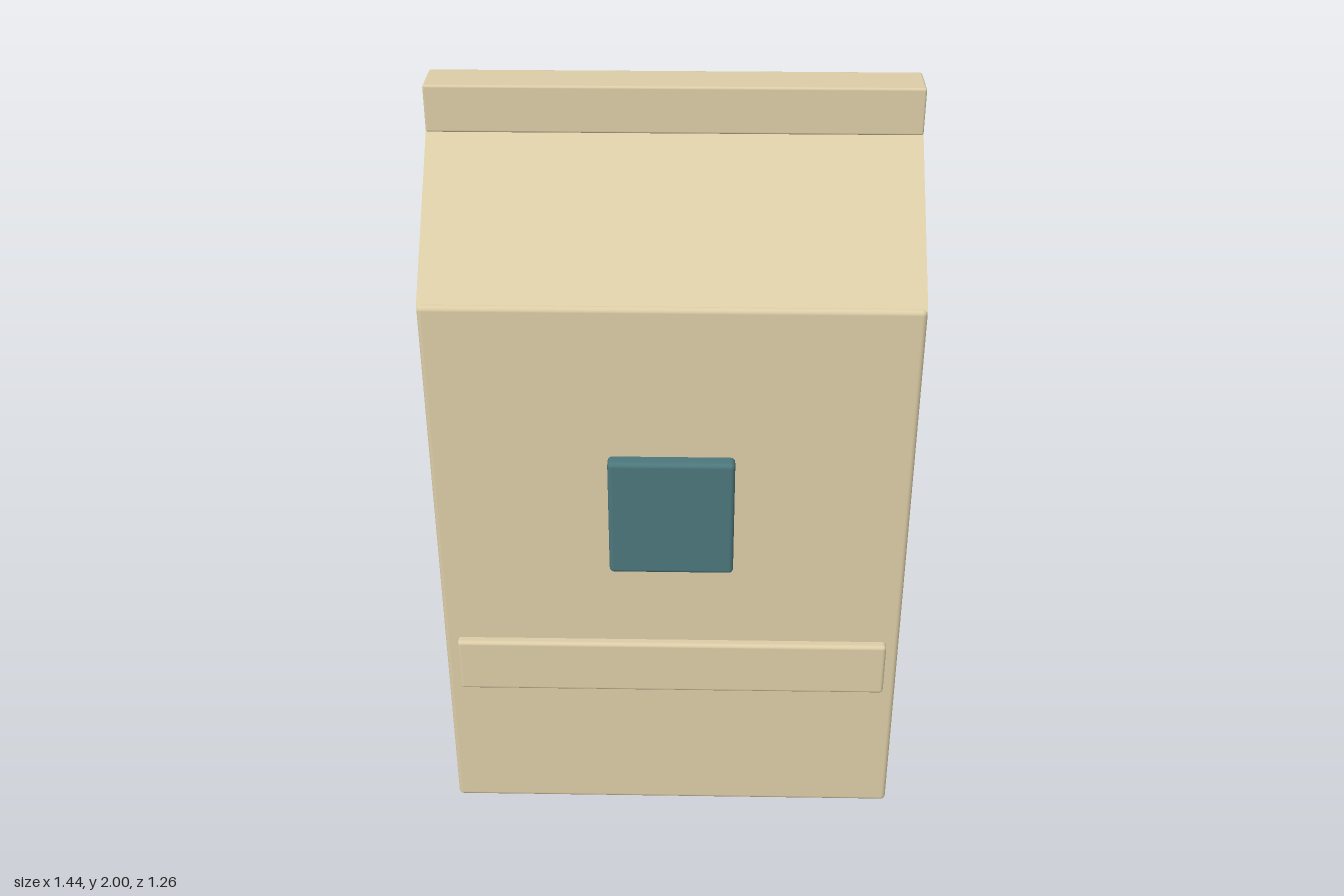
import * as THREE from 'three';
import { RoundedBoxGeometry } from 'three/addons/geometries/RoundedBoxGeometry.js';

const WIDTH = 1.22, DEPTH = 0.785, SHOULDER = 1.57, NECK = 1.88, TOP = 2;
const YAW = THREE.MathUtils.degToRad(28);

function material(name, color) {
  const m = new THREE.MeshStandardMaterial({ color });
  m.name = name;
  return m;
}

export function createModel() {
  const card = material('tan card', 0xdccda7);
  const teal = material('teal', 0x4c777c);

  const carton = new THREE.Group();
  carton.name = 'carton';
  carton.rotation.y = YAW;

  const add = (name, geometry, mat, x, y, z) => {
    const mesh = new THREE.Mesh(geometry, mat);
    mesh.name = name;
    mesh.position.set(x, y, z);
    carton.add(mesh);
  };
  // Softly rounded box spanning y0..y1 and z0..z1, centred on x
  const block = (name, mat, w, y0, y1, z0, z1, r) =>
    add(name, new RoundedBoxGeometry(w, y1 - y0, z1 - z0, 3, r), mat, 0, (y0 + y1) / 2, (z0 + z1) / 2);

  // Main body
  block('body', card, WIDTH, 0, SHOULDER, -DEPTH / 2, DEPTH / 2, 0.013);

  // Gable roof: a trapezoid pushed along the width
  const base = DEPTH / 2 - 0.008, neck = 0.052, y0 = SHOULDER - 0.005;
  const profile = new THREE.Shape([
    new THREE.Vector2(-base, y0), new THREE.Vector2(base, y0),
    new THREE.Vector2(neck, NECK + 0.005), new THREE.Vector2(-neck, NECK + 0.005),
  ]);
  const roof = new THREE.ExtrudeGeometry(profile, { depth: WIDTH, bevelEnabled: false });
  roof.translate(0, 0, -WIDTH / 2);
  roof.rotateY(Math.PI / 2);
  add('gableRoof', roof, card, 0, 0, 0);

  // Folded seal along the ridge
  block('topSeal', card, WIDTH, NECK, TOP, -0.06, 0.06, 0.006);

  // Raised details on the front panel
  block('frontBand', card, 1.15, 0.415, 0.575, 0.375, 0.416, 0.01);
  block('frontBadge', teal, 0.32, 0.82, 1.155, 0.375, 0.429, 0.012);

  const model = new THREE.Group();
  model.name = 'cartonModel';
  model.add(carton);
  return model;
}
